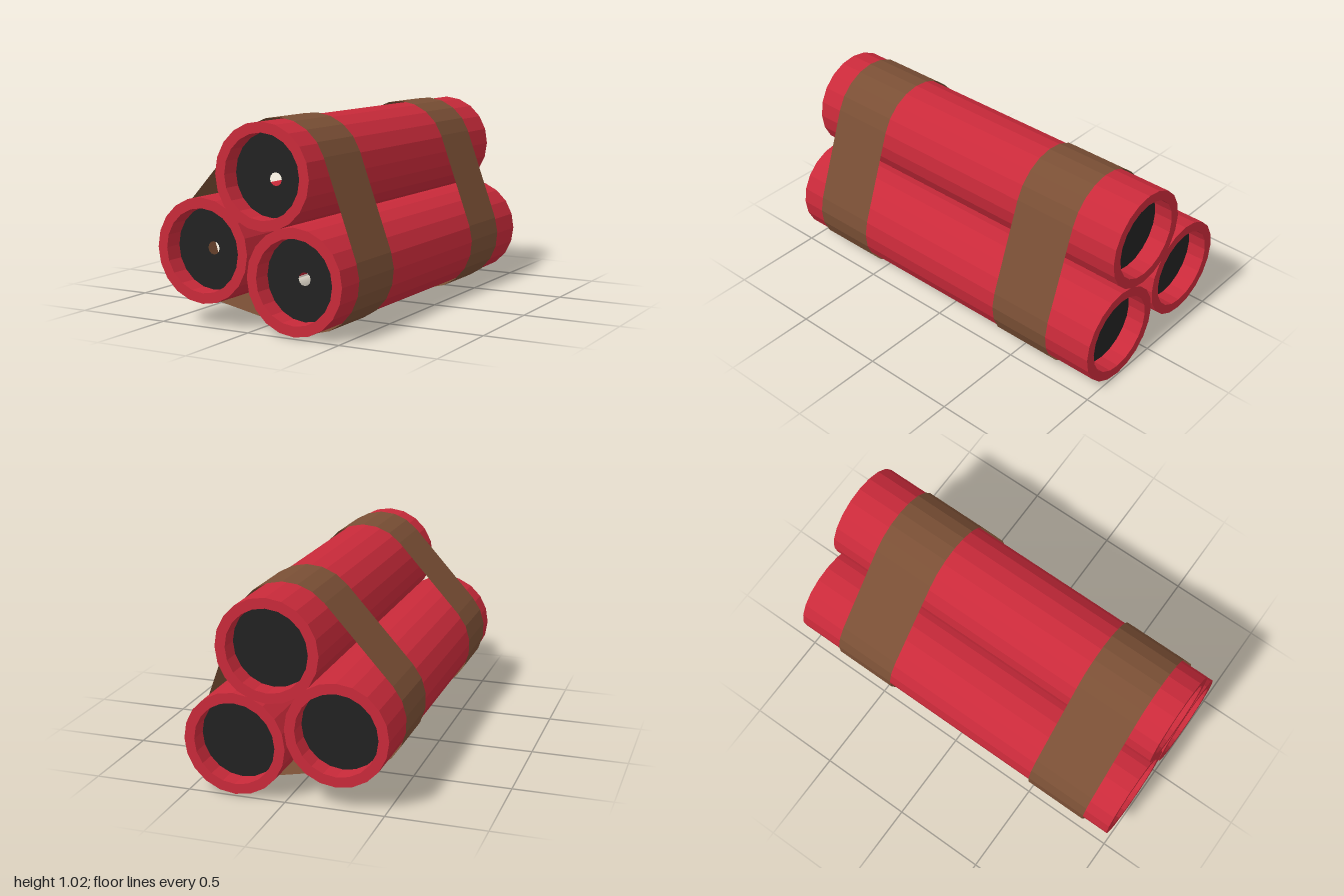
import * as THREE from 'three';

const R = 0.26, RI = 0.208, RECESS = 0.9, SIDES = 20;
// Tube centres, counter-clockwise, with the offset of the fuse hole
const TUBES = [
  { name: 'rightTube', x: 0.257, y: 0.27, hx: 0, hy: 0 },
  { name: 'topTube', x: 0.083, y: 0.755, hx: 0.018, hy: -0.02 },
  { name: 'leftTube', x: -0.26, y: 0.375, hx: 0, hy: 0 },
];
TUBES[0].name = 'lowerLeftTube'; // model's own left is +x
TUBES[2].name = 'lowerRightTube';

const red = new THREE.MeshStandardMaterial({ color: 0xc92a3a, flatShading: true });
const dark = new THREE.MeshStandardMaterial({ color: 0x222222, side: THREE.DoubleSide });
const brown = new THREE.MeshStandardMaterial({ color: 0x7a4f35, flatShading: true, side: THREE.DoubleSide });

function addMesh(parent, name, geometry, material) {
  const mesh = new THREE.Mesh(geometry, material);
  mesh.name = name;
  parent.add(mesh);
  return mesh;
}

// Tube wall with a rim and a recess at both ends, plus the two end plugs
function makeTube({ name, x, y, hx, hy }) {
  const tube = new THREE.Group();
  tube.name = name;
  tube.position.set(x, y, 0);
  const profile = [[RI, -RECESS], [RI, -1], [R, -1], [R, 1], [RI, 1], [RI, RECESS]]
    .map(([r, h]) => new THREE.Vector2(r, h));
  addMesh(tube, 'casing', new THREE.LatheGeometry(profile, SIDES).rotateX(Math.PI / 2), red);

  const plug = new THREE.Shape();
  for (let i = 0; i < SIDES; i++) {
    const a = (i / SIDES) * Math.PI * 2;
    plug[i ? 'lineTo' : 'moveTo'](RI * Math.cos(a), RI * Math.sin(a));
  }
  plug.closePath();
  plug.holes.push(new THREE.Path().absarc(hx, hy, 0.033, 0, Math.PI * 2, true));
  addMesh(tube, 'frontPlug', new THREE.ShapeGeometry(plug, 6), dark).position.z = RECESS;
  const back = addMesh(tube, 'backPlug', new THREE.CircleGeometry(RI, SIDES), dark);
  back.position.z = -RECESS;
  back.rotation.y = Math.PI;
  return tube;
}

// Outline of a band stretched around the three tubes
function bandOutline(radius, steps) {
  const n = TUBES.length, points = [];
  const normal = (a, b) => Math.atan2(a.x - b.x, b.y - a.y);
  TUBES.forEach((c, i) => {
    const start = normal(TUBES[(i + n - 1) % n], c);
    let end = normal(c, TUBES[(i + 1) % n]);
    while (end < start) end += Math.PI * 2;
    for (let k = 0; k <= steps; k++) {
      const a = start + ((end - start) * k) / steps;
      points.push([c.x + radius * Math.cos(a), c.y + radius * Math.sin(a)]);
    }
  });
  return points;
}

// Thin strap: the outline swept from z0 to z1
function makeStrap(z0, z1) {
  const outline = bandOutline(0.27, 7), n = outline.length;
  const position = [], index = [];
  outline.forEach(([x, y], i) => {
    position.push(x, y, z0, x, y, z1);
    const a = 2 * i, b = 2 * ((i + 1) % n);
    index.push(a, b, b + 1, a, b + 1, a + 1);
  });
  const g = new THREE.BufferGeometry();
  g.setAttribute('position', new THREE.Float32BufferAttribute(position, 3));
  g.setIndex(index);
  g.computeVertexNormals();
  return g;
}

export function createModel() {
  const model = new THREE.Group();
  model.name = 'tubeBundle';
  TUBES.forEach((t) => model.add(makeTube(t)));
  addMesh(model, 'frontStrap', makeStrap(0.51, 0.855), brown);
  addMesh(model, 'backStrap', makeStrap(-0.745, -0.4), brown);
  return model;
}
